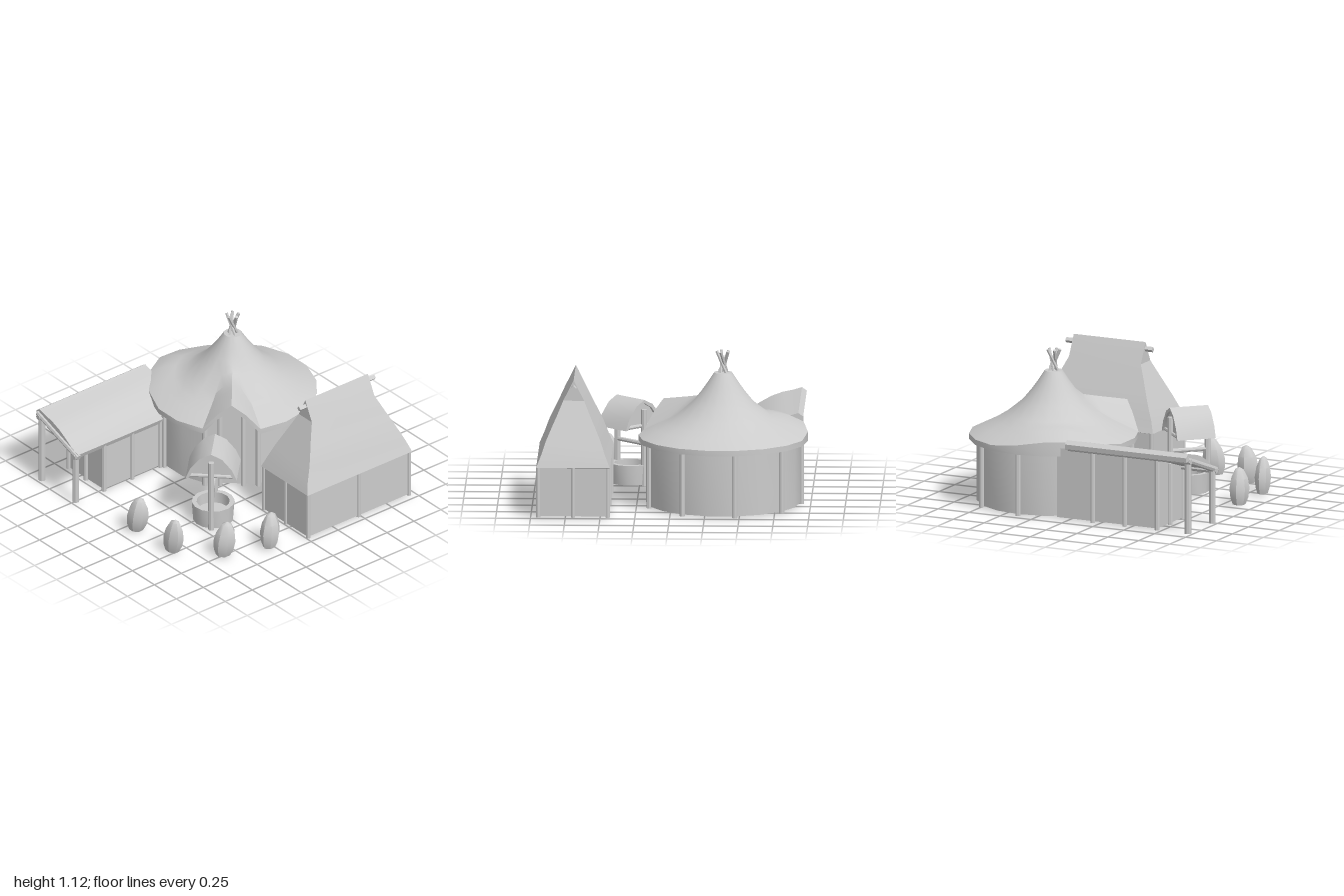
import * as THREE from 'three';
import { toCreasedNormals } from 'three/addons/utils/BufferGeometryUtils.js';

const material = new THREE.MeshStandardMaterial({ color: 0xcccccc, side: THREE.DoubleSide });
const V = (x, y, z) => new THREE.Vector3(x, y, z);
const rad = THREE.MathUtils.degToRad;

function add(parent, name, geometry, crease = 0.6) {
  const mesh = new THREE.Mesh(toCreasedNormals(geometry, crease), material);
  mesh.name = name;
  parent.add(mesh);
  return mesh;
}

function group(parent, name) {
  const g = new THREE.Group();
  g.name = name;
  parent.add(g);
  return g;
}

// Surface through rows of points, listed from top to bottom
function loft(rows, closed = true) {
  const n = rows[0].length, index = [];
  for (let i = 0; i < rows.length - 1; i++) {
    for (let j = 0; j < (closed ? n : n - 1); j++) {
      const a = i * n + j, b = i * n + (j + 1) % n;
      index.push(a, b, a + n, b, b + n, a + n);
    }
  }
  const g = new THREE.BufferGeometry().setFromPoints(rows.flat());
  g.setIndex(index);
  return g;
}

// Round pole between two points
function pole(parent, name, a, b, r, sides = 8) {
  const mesh = add(parent, name, new THREE.CylinderGeometry(r, r, a.distanceTo(b), sides));
  mesh.position.copy(a).lerp(b, 0.5);
  mesh.quaternion.setFromUnitVectors(V(0, 1, 0), b.clone().sub(a).normalize());
}

const post = (parent, x, z, h, r = 0.018) => pole(parent, 'post', V(x, 0, z), V(x, h, z), r);

// Solid with the given x-y outline, running along z
function prism(points, depth) {
  const shape = new THREE.Shape(points.map(([x, y]) => new THREE.Vector2(x, y)));
  return new THREE.ExtrudeGeometry(shape, { depth, bevelEnabled: false });
}

function roundHouse(root) {
  const house = group(root, 'roundHouse');
  house.position.set(-0.37, 0, -0.39);
  const profile = [[0, 0.96], [0.065, 0.96], [0.11, 0.89], [0.16, 0.82], [0.23, 0.735],
    [0.34, 0.645], [0.42, 0.595], [0.5, 0.555], [0.61, 0.5]];
  const angles = [30, 50];
  for (let a = 0; a < 360; a += 20) angles.push(a);
  angles.sort((a, b) => a - b);

  // Dormer at 40 degrees, and a swelling where the long house joins
  const height = (r, y, a) => {
    const dormer = Math.max(0, 1 - Math.abs(a - 40) / 25);
    const inDormer = Math.abs(a - 40) < 20 && r > 0.2;
    const ridge = 0.76 - 0.18 * (r - 0.25);
    const swell = Math.max(0, 1 - Math.abs(a - 150) / 45) * THREE.MathUtils.smoothstep(r, 0.3, 0.5);
    return y + (inDormer ? dormer * Math.max(0, ridge - y) : 0) + 0.08 * swell;
  };
  const point = (r, y, a) => {
    const off = Math.abs(a - 40);
    const flat = off < 20 ? Math.cos(rad(20)) / Math.cos(rad(off)) : 1;
    const d = r > 0.3 ? r * flat : r;
    return V(d * Math.cos(rad(a)), y, d * Math.sin(rad(a)));
  };
  const rows = profile.map(([r, y]) => angles.map(a => point(r, height(r, y, a), a)));
  const rimY = a => (Math.abs(a - 40) < 20 ? height(0.61, 0.5, a) - 0.04 : 0.46);
  rows.push(angles.map(a => point(0.61, rimY(a), a)));
  rows.push(angles.map(a => point(0.56, rimY(a), a)));
  add(house, 'roundRoof', loft(rows), 0.55);

  add(house, 'roundWall', loft([
    angles.map(a => point(0.555, rimY(a) + 0.01, a)),
    angles.map(a => point(0.555, 0.01, a)),
  ]), 0.4);
  for (let a = 60; a <= 380; a += 40) {
    const p = point(0.562, 0, a % 360);
    post(house, p.x, p.z, 0.48, 0.02);
  }
  for (const a of [31, 49]) {
    const p = point(0.565, 0, a);
    post(house, p.x, p.z, 0.6, 0.018);
  }

  // Crossed poles through the smoke hole
  for (let i = 0; i < 5; i++) {
    const a = i * Math.PI * 0.4 + 0.3, c = Math.cos(a), s = Math.sin(a);
    pole(house, 'roofPole', V(-0.04 * c + 0.015 * s, 0.93, -0.04 * s - 0.015 * c),
      V(0.045 * c + 0.012 * s, 1.115, 0.045 * s - 0.012 * c), 0.012, 6);
  }
}

function longHouse(root) {
  const house = group(root, 'longHouse');
  // Curved lean-to roof
  const roof = add(house, 'longRoof', prism([[-0.93, 0.53], [-0.47, 0.385], [-0.46, 0.41],
    [-0.53, 0.435], [-0.6, 0.48], [-0.68, 0.525], [-0.76, 0.555], [-0.84, 0.572],
    [-0.9, 0.59], [-0.935, 0.565]], 0.98));
  roof.position.z = -0.01;
  const path = [[-0.49, 0.14], [-0.49, 0.71], [-0.88, 0.71], [-0.88, -0.1]];
  add(house, 'longWall', loft([
    path.map(([x, z]) => V(x, x < -0.6 ? 0.52 : 0.4, z)),
    path.map(([x, z]) => V(x, 0.01, z)),
  ], false));
  for (const z of [0.19, 0.45, 0.71]) {
    post(house, -0.485, z, 0.4);
    post(house, -0.885, z, 0.52);
  }
  post(house, -0.685, 0.715, 0.45);
  // Porch posts and end beam
  post(house, -0.885, 0.96, 0.54, 0.025);
  post(house, -0.5, 0.96, 0.4, 0.025);
  pole(house, 'endBeam', V(-0.92, 0.55, 0.965), V(-0.46, 0.385, 0.965), 0.023);
  pole(house, 'sideBeam', V(-0.49, 0.385, 0.15), V(-0.49, 0.385, 0.99), 0.02);
  pole(house, 'sideBeam', V(-0.895, 0.53, 0), V(-0.895, 0.53, 0.99), 0.02);
}

function barn(root) {
  const house = group(root, 'barn');
  house.position.set(0.695, 0, -0.485);
  const ring = (hx, y, hz) => [V(hx, y, -hz), V(hx, y, hz), V(-hx, y, hz), V(-hx, y, -hz)];
  // Steep flared roof with half hips and small upper gables
  add(house, 'barnRoof', loft([
    [0, 0.97, 0.29], [0.075, 0.82, 0.29], [0.118, 0.72, 0.335], [0.155, 0.64, 0.37],
    [0.195, 0.55, 0.41], [0.23, 0.45, 0.455], [0.265, 0.365, 0.485], [0.25, 0.36, 0.47],
  ].map(r => ring(...r))), 0.2);
  add(house, 'barnWall', loft([ring(0.253, 0.365, 0.473), ring(0.253, 0.01, 0.473)]));
  for (const x of [-0.25, 0.25]) for (const z of [-0.468, 0, 0.468]) post(house, x, z, 0.365, 0.016);
  for (const z of [-0.468, 0.468]) post(house, 0, z, 0.365, 0.016);
  for (const s of [-1, 1]) pole(house, 'ridgePole', V(0, 0.92, s * 0.25), V(0, 0.92, s * 0.35), 0.02, 4);
}

function well(root) {
  const w = group(root, 'well');
  w.position.set(0.315, 0, 0.35);
  w.rotation.y = Math.PI / 4;
  // Hollow stone basin with water inside
  const P = (x, y) => new THREE.Vector2(x, y);
  add(w, 'basin', new THREE.LatheGeometry(
    [P(0.145, 0.01), P(0.155, 0.155), P(0.12, 0.155), P(0.115, 0.01), P(0.145, 0.01)], 14));
  const water = add(w, 'water', new THREE.CircleGeometry(0.118, 14));
  water.rotation.x = -Math.PI / 2;
  water.position.y = 0.07;
  // Frame with winding bar
  for (const z of [-0.14, 0.14]) {
    post(w, 0, z, 0.56, 0.022);
    pole(w, 'tieBeam', V(-0.16, 0.44, z * 0.9), V(0.16, 0.44, z * 0.9), 0.014);
  }
  pole(w, 'windingBar', V(0, 0.31, -0.15), V(0, 0.31, 0.15), 0.016);
  // Bowed thatched roof over recessed gables
  const half = [[0.185, 0.425], [0.15, 0.505], [0.08, 0.59]];
  const mirror = p => p.map(([x, y]) => [-x, y]).reverse();
  const outer = [...half, [0, 0.63], ...mirror(half)];
  const inner = outer.map(([x, y]) => [x * 0.88, y === 0.425 ? y : y - 0.025]).reverse();
  add(w, 'wellRoof', prism([...outer, ...inner], 0.29)).position.z = -0.145;
  const gable = prism(inner, 0.012);
  for (const z of [-0.125, 0.113]) add(w, 'gable', gable).position.z = z;
}

function stones(root) {
  const profile = [[0, 0.01], [0.05, 0.012], [0.07, 0.06], [0.079, 0.13], [0.066, 0.2],
    [0.035, 0.26], [0, 0.28]].map(p => new THREE.Vector2(...p));
  // x, z, turn, depth scale
  const spots = [[0.095, 0.87, 0.4, 0.95], [0.49, 0.86, 0.25, 0.75],
    [0.755, 0.6, 1.2, 0.95], [0.865, 0.27, 2, 0.9]];
  for (const [x, z, turn, depth] of spots) {
    const g = new THREE.LatheGeometry(profile, 7);
    g.applyMatrix4(new THREE.Matrix4().set(1, 0.1, 0, -0.013, 0, 1, 0, 0, 0, 0, 1, 0, 0, 0, 0, 1));
    const stone = add(root, 'standingStone', g, 0.8);
    stone.position.set(x, 0, z);
    stone.rotation.y = turn;
    stone.scale.set(1.05, 1, depth);
  }
}

export function createModel() {
  const root = new THREE.Group();
  root.name = 'village';
  roundHouse(root);
  longHouse(root);
  barn(root);
  well(root);
  stones(root);
  return root;
}
